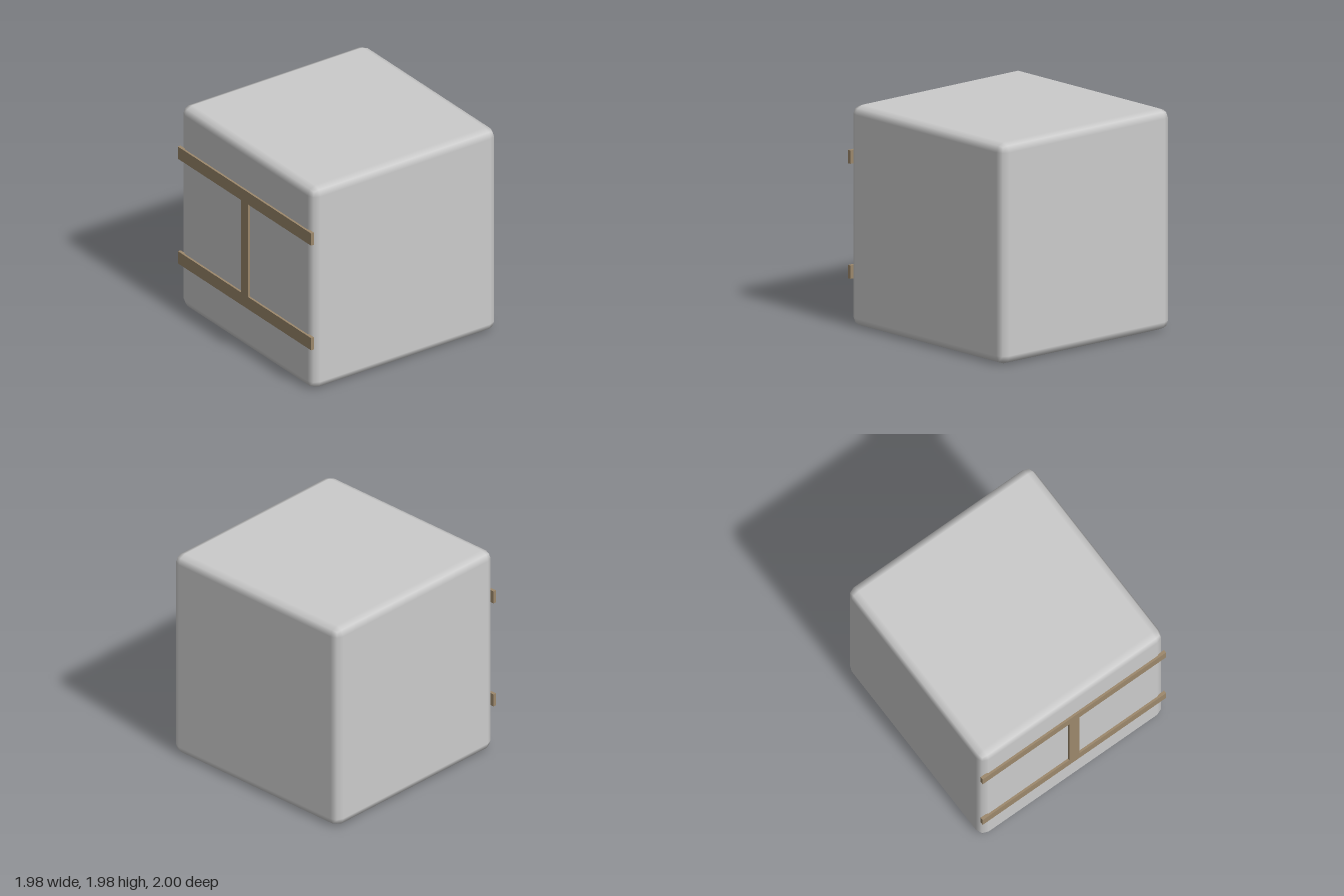
import * as THREE from 'three';
import { RoundedBoxGeometry } from 'three/addons/geometries/RoundedBoxGeometry.js';

export function createModel() {
  const group = new THREE.Group();

  // Cube with softly bevelled edges
  const size = 1.98;
  const body = new THREE.Mesh(
    new RoundedBoxGeometry(size, size, size, 1, 0.08),
    new THREE.MeshStandardMaterial({ color: 0xcccccc })
  );
  body.name = 'body';
  body.position.set(0, size / 2, -0.01);
  group.add(body);

  // Two horizontal bands joined by an upright, cut as one I-shaped plate
  const halfWidth = 0.99, halfUpright = 0.055;
  const bottom = 0.42, lower = 0.54, upper = 1.45, top = 1.57;
  const rightSide = [
    [halfWidth, bottom], [halfWidth, lower], [halfUpright, lower],
    [halfUpright, upper], [halfWidth, upper], [halfWidth, top],
  ];
  const leftSide = rightSide.map(([x, y]) => [-x, y]).reverse();
  const outline = new THREE.Shape(
    [...rightSide, ...leftSide].map(([x, y]) => new THREE.Vector2(x, y))
  );
  const trim = new THREE.Mesh(
    new THREE.ExtrudeGeometry(outline, { depth: 0.03, bevelEnabled: false }),
    new THREE.MeshStandardMaterial({ color: 0x9c886c })
  );
  trim.name = 'frontTrim';
  trim.position.z = 0.97;
  group.add(trim);

  return group;
}
